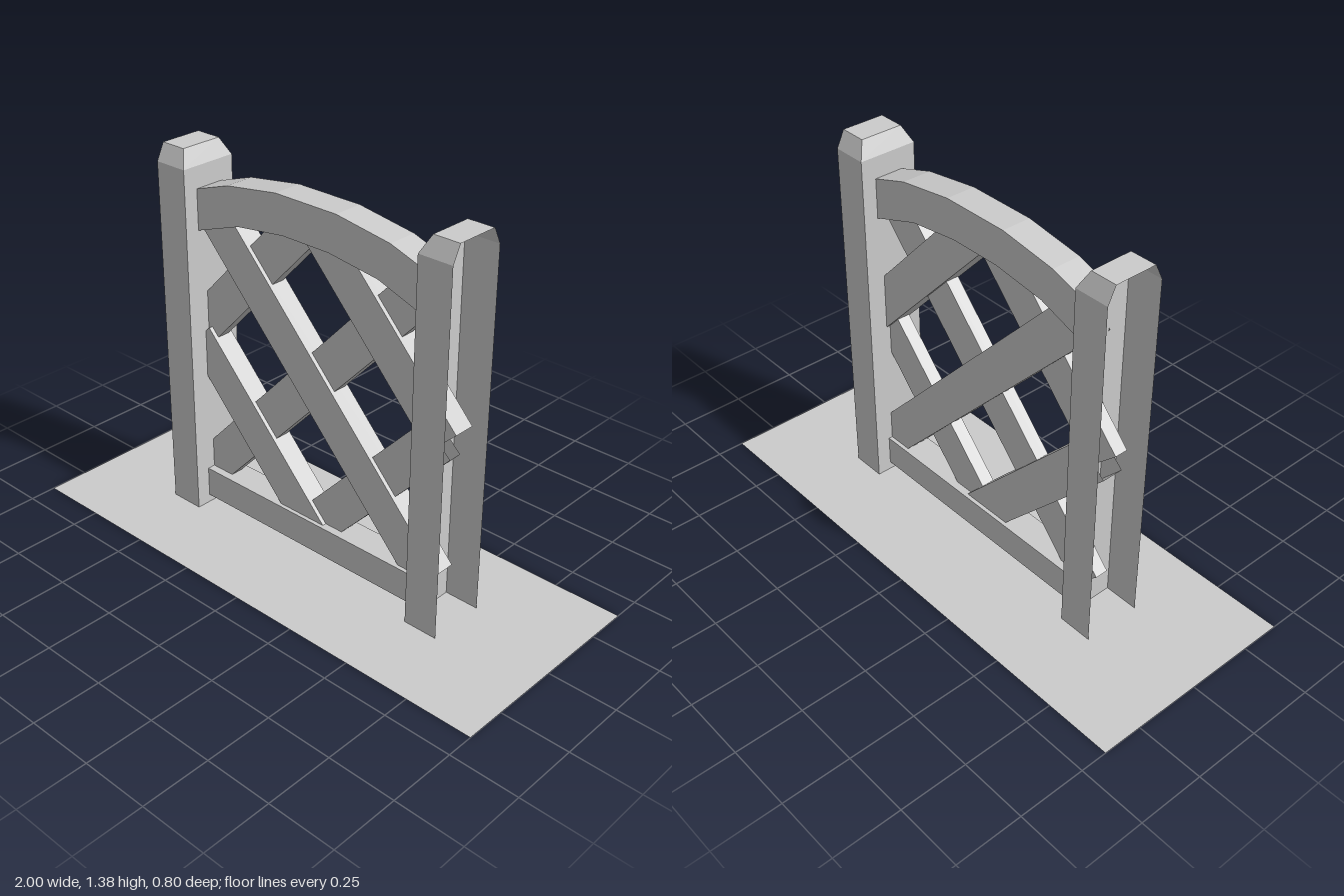
import * as THREE from 'three';

const material = new THREE.MeshStandardMaterial({
  color: 0xcccccc, flatShading: true, side: THREE.DoubleSide,
});

function addMesh(parent, name, geometry) {
  const mesh = new THREE.Mesh(geometry, material);
  mesh.name = name;
  parent.add(mesh);
  return mesh;
}

// Post on the +x side: chamfered on three sides, open on its outer side
function postGeometry() {
  const inner = 0.5, outer = 0.63, depth = 0.11, shoulder = 1.325, top = 1.385;
  const geometry = new THREE.BoxGeometry(2, 2, 2, 1, 2, 1);
  const p = geometry.attributes.position;
  for (let i = 0; i < p.count; i++) {
    const level = Math.round(p.getY(i)) + 1;
    const inset = level === 2 ? 0.03 : 0;
    p.setXYZ(i,
      p.getX(i) > 0 ? outer : inner + inset,
      [0, shoulder, top][level],
      Math.sign(p.getZ(i)) * (depth - inset));
  }
  // Keep the inner side, the top, the front and the back
  const index = Array.from(geometry.index.array);
  geometry.setIndex([...index.slice(12, 30), ...index.slice(36)]);
  geometry.clearGroups();
  geometry.computeVertexNormals();
  return geometry;
}

// Lattice slat between two centre points, with open ends
function addSlat(parent, name, [x0, y0], [x1, y1], thickness) {
  const geometry = new THREE.BoxGeometry(Math.hypot(x1 - x0, y1 - y0), 0.148, thickness);
  geometry.setIndex(Array.from(geometry.index.array).slice(12));
  geometry.clearGroups();
  const slat = addMesh(parent, name, geometry);
  slat.position.set((x0 + x1) / 2, (y0 + y1) / 2, 0);
  slat.rotation.z = Math.atan2(y1 - y0, x1 - x0);
}

export function createModel() {
  const model = new THREE.Group();
  model.name = 'gardenGate';

  // Flat ground panel
  addMesh(model, 'groundPanel', new THREE.PlaneGeometry(2, 0.8).rotateX(-Math.PI / 2));

  // Posts
  addMesh(model, 'leftPost', postGeometry());
  addMesh(model, 'rightPost', postGeometry()).rotation.y = Math.PI;

  // Bottom rail
  addMesh(model, 'bottomRail', new THREE.BoxGeometry(1, 0.115, 0.11)).position.y = 0.088;

  // Arched top rail: faceted outline from half profiles
  const upper = [[0.5, 1.245], [0.35, 1.295], [0.13, 1.328]];
  const lower = [[0.1, 1.19], [0.305, 1.163], [0.5, 1.095]];
  const mirrored = (points) => points.map(([x, y]) => [-x, y]).reverse();
  const outline = [...upper, ...mirrored(upper), ...mirrored(lower), ...lower.slice().reverse()];
  // Lower edge runs from -x back to +x
  const ordered = [...outline.slice(0, 6),
    ...lower.concat(mirrored(lower)).sort((a, b) => a[0] - b[0])];
  const archShape = new THREE.Shape(ordered.map(([x, y]) => new THREE.Vector2(x, y)));
  addMesh(model, 'archedTopRail',
    new THREE.ExtrudeGeometry(archShape, { depth: 0.11, bevelEnabled: false }).translate(0, 0, -0.055));

  // Lattice: thick falling slats crossed by thinner rising ones
  const lattice = new THREE.Group();
  lattice.name = 'lattice';
  model.add(lattice);
  const slats = [
    [[-0.451, 1.166], [0.516, 0.135]],
    [[0.024, 1.256], [0.566, 0.682]],
    [[-0.536, 0.676], [0.016, 0.089]],
  ];
  for (const [a, b] of slats) {
    addSlat(lattice, 'fallingSlat', a, b, 0.08);
    addSlat(lattice, 'risingSlat', [-b[0], b[1]], [-a[0], a[1]], 0.05);
  }
  return model;
}
